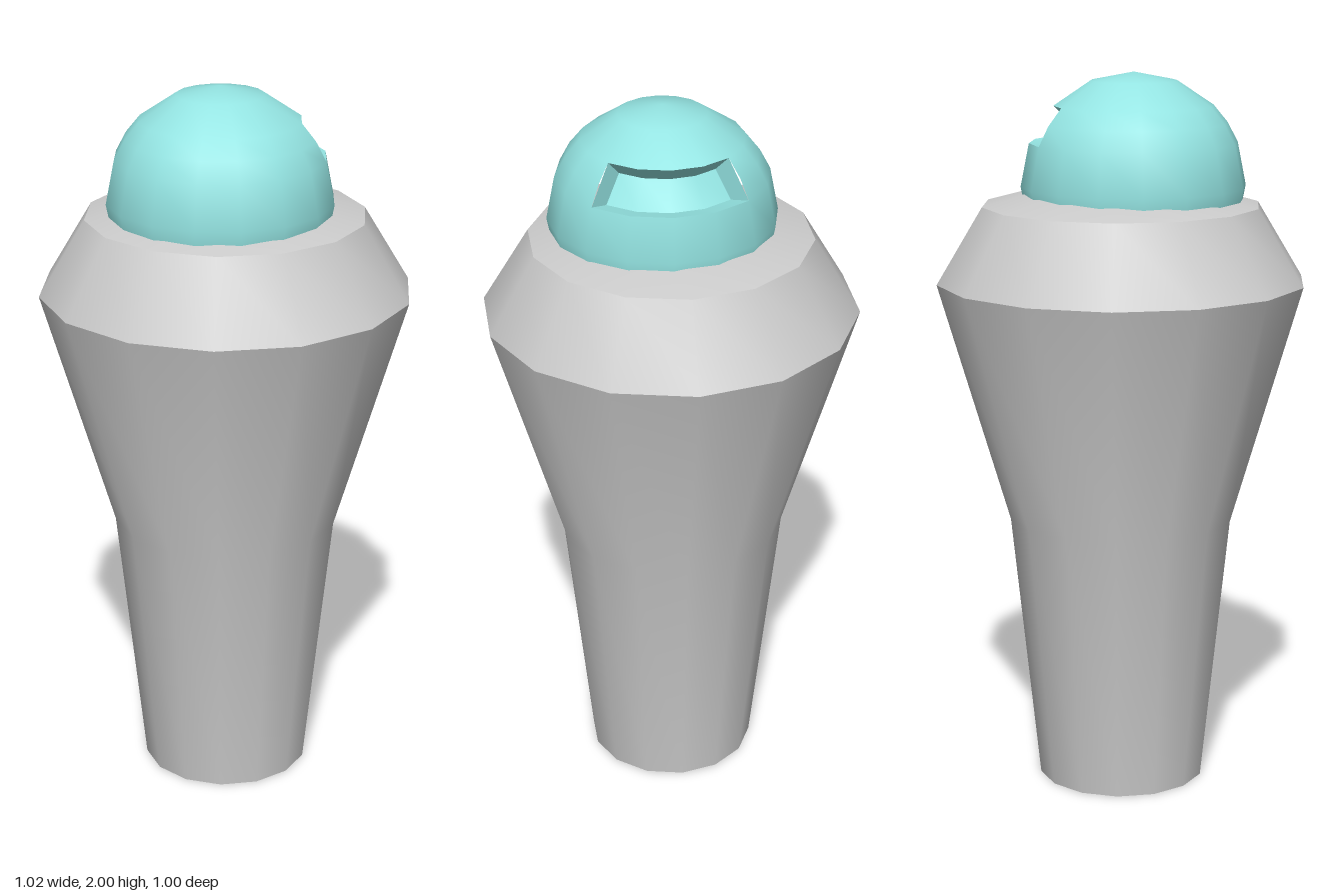
import * as THREE from 'three';
import { mergeGeometries, toCreasedNormals } from 'three/addons/utils/BufferGeometryUtils.js';

const CREASE = 0.6;
const points = (list) => list.map(([r, y]) => new THREE.Vector2(r, y));

// Fourteen-sided tapered body with a flared shoulder and closed ends
function createBody() {
  const profile = points([
    [0, 0], [0.235, 0], [0.315, 0.76], [0.512, 1.43], [0.385, 1.64], [0.2, 1.69], [0, 1.69],
  ]);
  const geometry = new THREE.LatheGeometry(profile, 14, Math.PI / 2);
  const mesh = new THREE.Mesh(
    toCreasedNormals(geometry, CREASE),
    new THREE.MeshStandardMaterial({ color: 0xcccccc }),
  );
  mesh.name = 'body';
  return mesh;
}

// Ball with a recessed slot replacing a quarter of one band
function createDome() {
  const R = 0.31, inner = 0.25, PI = Math.PI;
  const at = (r, elevation) => [r * Math.cos(elevation), r * Math.sin(elevation)];

  // Slot section: lower lip, floor, back wall, ceiling
  const section = points([at(R, PI / 8), [0.228, 0.105], at(inner, PI / 4), at(R, PI / 4)]);

  // Flat walls closing the two ends of the slot
  const endWall = new THREE.ShapeGeometry(new THREE.Shape(section));
  const backEnd = endWall.clone().rotateY(PI / 4);
  const frontEnd = endWall.clone().rotateY(-PI / 4);
  frontEnd.setIndex(Array.from(endWall.index.array).reverse());

  const geometry = mergeGeometries([
    new THREE.SphereGeometry(R, 16, 2, 0, 2 * PI, 0, PI / 4),
    new THREE.SphereGeometry(R, 12, 1, 5 * PI / 4, 1.5 * PI, PI / 4, PI / 8),
    new THREE.SphereGeometry(R, 16, 5, 0, 2 * PI, 3 * PI / 8, 5 * PI / 8),
    new THREE.LatheGeometry(section, 4, PI / 4, PI / 2),
    backEnd,
    frontEnd,
  ]);
  const mesh = new THREE.Mesh(
    toCreasedNormals(geometry, CREASE),
    new THREE.MeshStandardMaterial({ color: 0x94e4e2 }),
  );
  mesh.name = 'slottedDome';
  mesh.position.set(-0.03, 1.69, 0.018);
  mesh.rotation.y = -0.04;
  return mesh;
}

export function createModel() {
  const model = new THREE.Group();
  model.name = 'domedPost';
  model.add(createBody(), createDome());
  return model;
}
